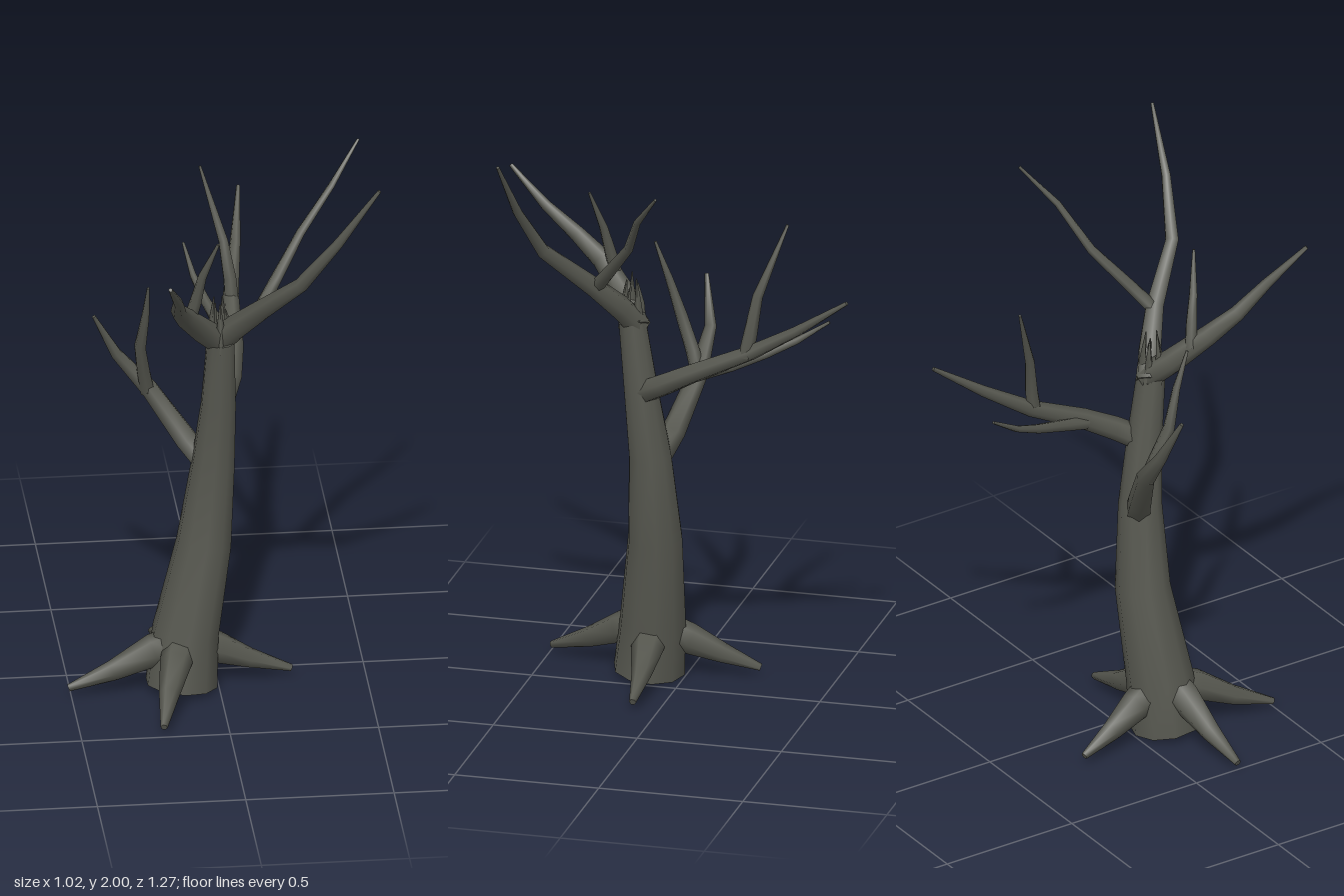
import * as THREE from 'three';

const bark = new THREE.MeshStandardMaterial({ color: 0x56574f });
bark.name = 'bark';

// Tapered limb through rows of [x, y, z, radius], smooth sides and flat end caps
function limb(name, rows, sides) {
  const pts = rows.map(r => new THREE.Vector3(r[0], r[1], r[2]));
  const pos = [], index = [];
  const tangent = new THREE.Vector3(0, 1, 0), u = new THREE.Vector3(0, 0, 1);
  const turn = new THREE.Quaternion();
  pts.forEach((p, i) => {
    const a = pts[Math.max(i - 1, 0)], b = pts[Math.min(i + 1, pts.length - 1)];
    const next = b.clone().sub(a).normalize();
    turn.setFromUnitVectors(tangent, next);
    u.applyQuaternion(turn);
    tangent.copy(next);
    const v = tangent.clone().cross(u);
    for (let j = 0; j < sides; j++) {
      const t = j / sides * Math.PI * 2;
      const q = p.clone()
        .addScaledVector(u, Math.cos(t) * rows[i][3])
        .addScaledVector(v, Math.sin(t) * rows[i][3]);
      pos.push(q.x, q.y, q.z);
    }
  });
  for (let i = 0; i < pts.length - 1; i++) {
    for (let j = 0; j < sides; j++) {
      const a = i * sides + j, b = i * sides + (j + 1) % sides;
      index.push(a, b, b + sides, a, b + sides, a + sides);
    }
  }
  // caps use their own corners so that the rims stay sharp
  for (const end of [0, pts.length - 1]) {
    const first = pos.length / 3;
    for (let k = 0; k < sides * 3; k++) pos.push(pos[end * sides * 3 + k]);
    for (let j = 1; j < sides - 1; j++) {
      if (end) index.push(first, first + j, first + j + 1);
      else index.push(first, first + j + 1, first + j);
    }
  }
  const g = new THREE.BufferGeometry();
  g.setAttribute('position', new THREE.Float32BufferAttribute(pos, 3));
  g.setIndex(index);
  g.computeVertexNormals();
  const mesh = new THREE.Mesh(g, bark);
  mesh.name = name;
  return mesh;
}

export function createModel() {
  const tree = new THREE.Group();
  tree.name = 'bareTree';
  const add = (name, rows, sides = 6) => tree.add(limb(name, rows, sides));

  // Leaning trunk
  add('trunk', [
    [-0.125, 0.015, 0.125, 0.123], [-0.11, 0.2, 0.108, 0.114], [-0.045, 0.52, 0.083, 0.094],
    [-0.015, 0.82, 0.093, 0.074], [0.0, 1.05, 0.12, 0.06], [0.004, 1.3, 0.15, 0.048],
  ], 10);

  // Splintered top
  for (let i = 0; i < 5; i++) {
    const t = i / 5 * Math.PI * 2 + 0.3, c = Math.cos(t), s = Math.sin(t);
    add('splinter', [
      [c * 0.025, 1.27, 0.15 + s * 0.025, 0.025],
      [c * 0.03, 1.36, 0.15 + s * 0.03, 0.013],
      [c * 0.02, 1.42 + (i * 2 % 5) * 0.012, 0.15 + s * 0.02, 0.002],
    ], 4);
  }

  // Roots
  add('rightRoot', [[-0.14, 0.17, 0.135, 0.06], [-0.22, 0.15, 0.14, 0.056],
    [-0.36, 0.085, 0.15, 0.035], [-0.51, 0.032, 0.16, 0.012]]);
  add('leftRoot', [[-0.07, 0.155, 0.105, 0.06], [0, 0.13, 0.1, 0.055],
    [0.11, 0.08, 0.09, 0.034], [0.25, 0.032, 0.083, 0.012]]);
  add('frontRoot', [[-0.13, 0.17, 0.15, 0.058], [-0.155, 0.145, 0.23, 0.054],
    [-0.19, 0.085, 0.35, 0.035], [-0.222, 0.032, 0.49, 0.012]]);
  add('backRoot', [[-0.12, 0.16, 0.06, 0.058], [-0.14, 0.13, -0.01, 0.053],
    [-0.165, 0.08, -0.12, 0.034], [-0.188, 0.032, -0.245, 0.012]]);

  // Tall front left branch
  add('frontLeftBranch', [[-0.01, 1.28, 0.13, 0.045], [0.05, 1.36, 0.175, 0.042],
    [0.135, 1.46, 0.25, 0.034], [0.25, 1.615, 0.395, 0.025], [0.37, 1.79, 0.45, 0.017],
    [0.505, 1.995, 0.483, 0.006]]);
  add('frontLeftTwig', [[0.13, 1.46, 0.24, 0.024], [0.19, 1.54, 0.18, 0.021],
    [0.28, 1.66, 0.09, 0.016], [0.39, 1.8, 0.03, 0.012], [0.49, 1.925, -0.06, 0.005]]);

  // Front right branch
  add('frontRightBranch', [[0.015, 1.28, 0.13, 0.045], [-0.06, 1.36, 0.19, 0.042],
    [-0.13, 1.46, 0.29, 0.035], [-0.162, 1.53, 0.385, 0.027], [-0.175, 1.62, 0.5, 0.018],
    [-0.215, 1.735, 0.63, 0.007]]);
  add('frontRightTwig', [[-0.11, 1.42, 0.235, 0.023], [-0.09, 1.5, 0.25, 0.021],
    [-0.07, 1.6, 0.27, 0.015], [-0.02, 1.735, 0.305, 0.005]]);

  // Back branch
  add('backBranch', [[0.02, 1.06, 0.1, 0.042], [0.05, 1.1, 0.03, 0.04],
    [0.072, 1.16, -0.08, 0.035], [0.083, 1.255, -0.28, 0.028], [0.115, 1.36, -0.45, 0.019],
    [0.145, 1.488, -0.632, 0.007]]);
  add('backUprightTwig', [[0.085, 1.24, -0.265, 0.026], [0.08, 1.32, -0.28, 0.024],
    [0.06, 1.45, -0.3, 0.018], [-0.01, 1.69, -0.386, 0.005]]);
  add('backLowTwig', [[0.06, 1.15, -0.08, 0.026], [0.035, 1.185, -0.2, 0.021],
    [0, 1.225, -0.31, 0.017], [-0.03, 1.27, -0.41, 0.012], [-0.052, 1.34, -0.52, 0.005]]);

  // Right side branch
  add('rightBranch', [[-0.03, 0.8, 0.075, 0.045], [-0.1, 0.88, 0.035, 0.042],
    [-0.22, 1.05, -0.02, 0.033], [-0.33, 1.18, -0.032, 0.021], [-0.408, 1.338, 0.002, 0.007]]);
  add('rightTwig', [[-0.225, 1.04, -0.02, 0.027], [-0.24, 1.12, 0.005, 0.025],
    [-0.257, 1.24, 0.05, 0.021], [-0.243, 1.37, 0.088, 0.014], [-0.238, 1.5, 0.135, 0.005]]);

  return tree;
}
